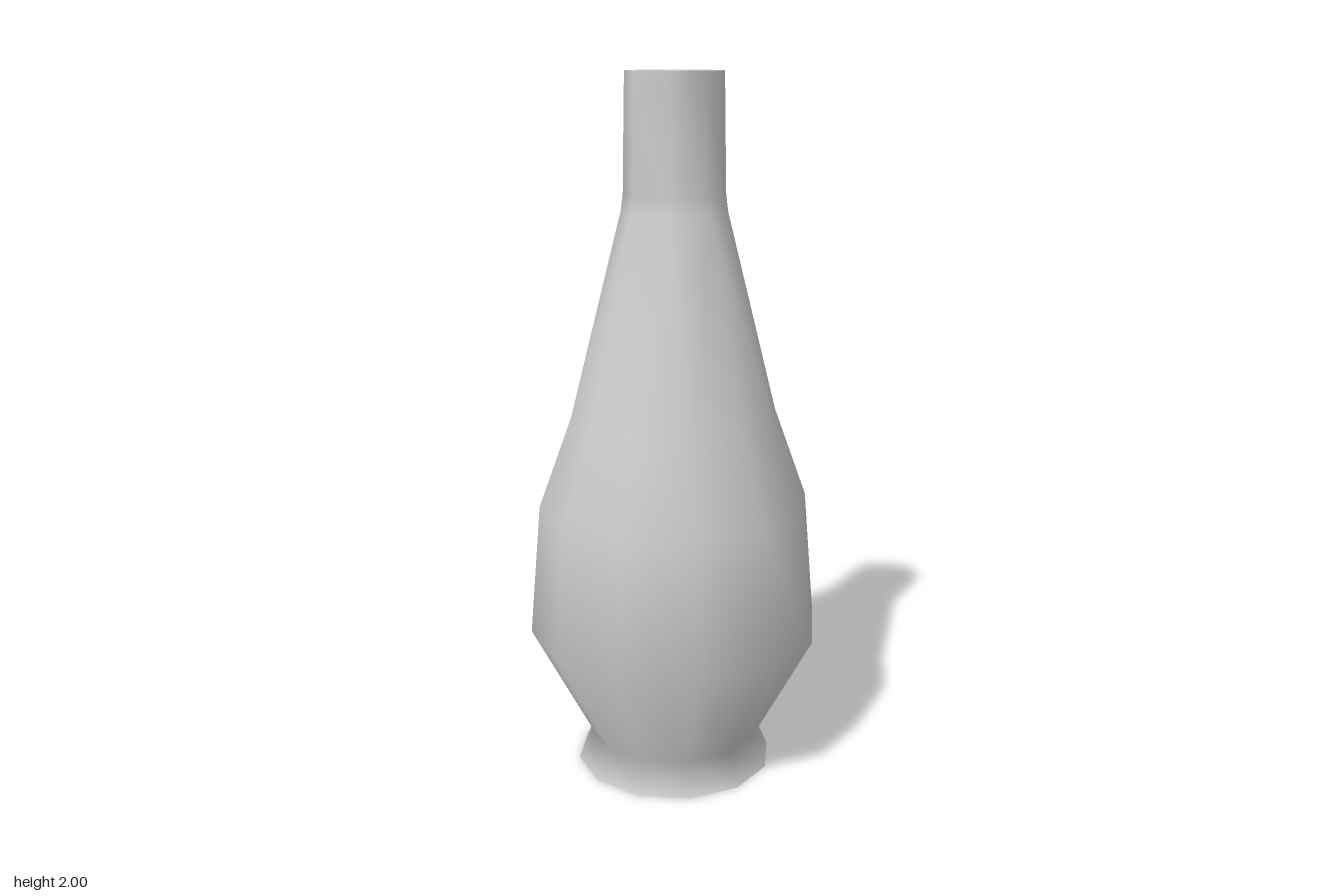
import * as THREE from 'three';

// Smooth skin through rings of [radius, height, sides]; neighbouring rings may differ in side count
function skin(rings) {
  const pos = [], index = [], starts = [];
  for (const [r, y, n] of rings) {
    starts.push(pos.length / 3);
    for (let i = 0; i < n; i++) {
      const a = (i / n) * Math.PI * 2;
      pos.push(r * Math.sin(a), y, r * Math.cos(a));
    }
  }
  for (let k = 0; k < rings.length - 1; k++) {
    const n = rings[k][2], m = rings[k + 1][2];
    const low = (i) => starts[k] + (i % n);
    const high = (j) => starts[k + 1] + (j % m);
    let i = 0, j = 0;
    while (i + j < n + m) {
      if ((i + 0.5) / n <= (j + 0.5) / m) {
        index.push(low(i), low(i + 1), high(j));
        i++;
      } else {
        index.push(low(i), high(j + 1), high(j));
        j++;
      }
    }
  }
  const g = new THREE.BufferGeometry();
  g.setAttribute('position', new THREE.Float32BufferAttribute(pos, 3));
  g.setIndex(index);
  g.computeVertexNormals();
  return g;
}

export function createModel() {
  const group = new THREE.Group();
  group.name = 'bottle';
  const material = new THREE.MeshStandardMaterial({ color: 0xcccccc });
  const add = (name, geometry) => {
    const mesh = new THREE.Mesh(geometry, material);
    mesh.name = name;
    group.add(mesh);
    return mesh;
  };

  // Flared foot, waist, belly and shoulder with 12 sides, narrowing to an 8-sided neck
  add('bottleBody', skin([
    [0.288, 0, 12],
    [0.247, 0.09, 12],
    [0.421, 0.42, 12],
    [0.388, 0.8, 12],
    [0.293, 1.06, 12],
    [0.147, 1.63, 8],
    [0.141, 1.68, 8],
    [0.136, 1.95, 8],
    [0.134, 2, 8],
  ]));

  // Flat discs closing both ends
  const cap = (name, r, y, n, tilt) => {
    const g = new THREE.CircleGeometry(r, n);
    g.rotateX(tilt);
    add(name, g).position.y = y;
  };
  cap('base', 0.288, 0, 12, Math.PI / 2);
  cap('topCap', 0.134, 2, 8, -Math.PI / 2);

  return group;
}
